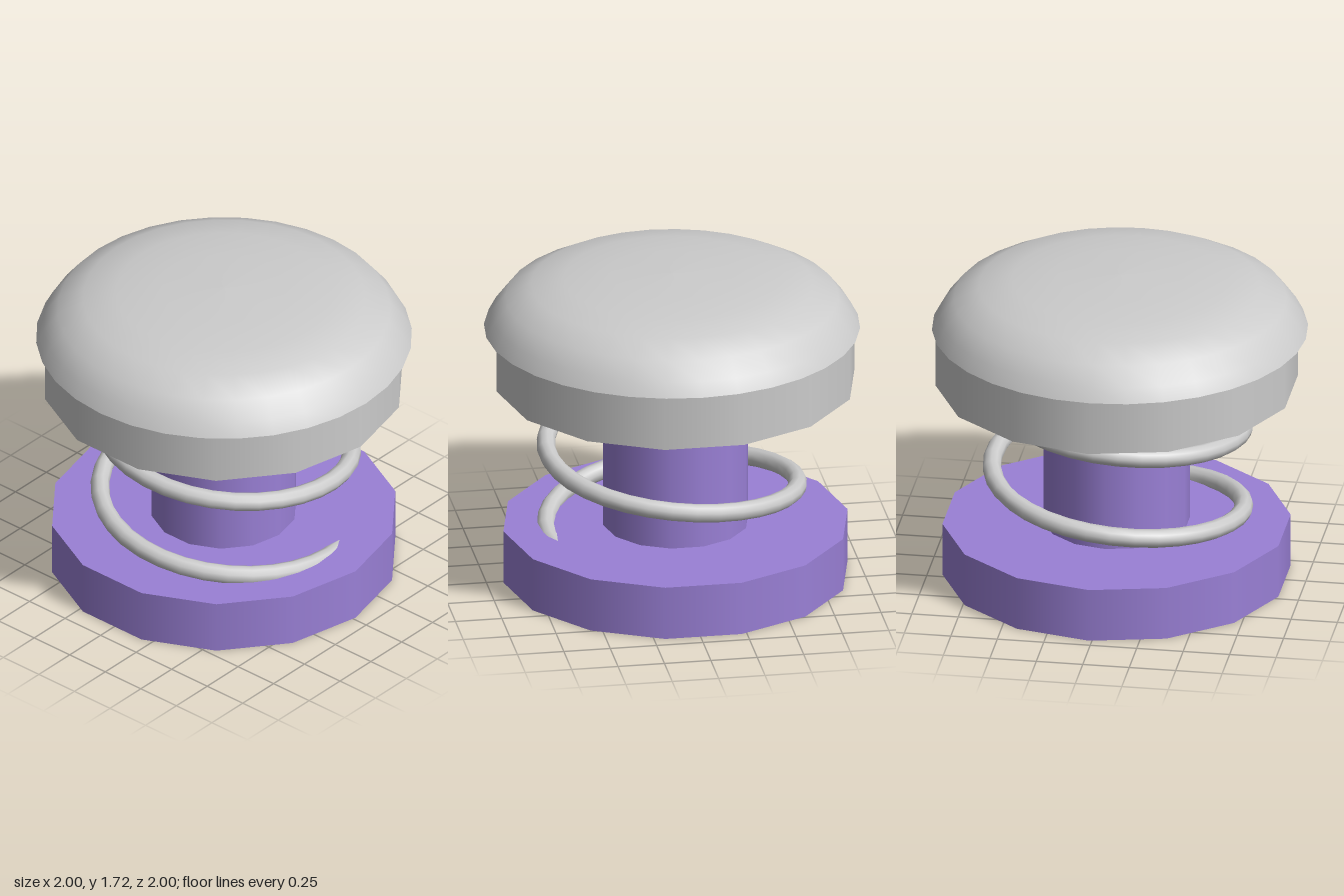
import * as THREE from 'three';

const grey = new THREE.MeshStandardMaterial({ color: 0xcccccc });
const purple = new THREE.MeshStandardMaterial({ color: 0x9a80d6 });

// Shared axis of the stacked cylinders, slightly off the cap's centre
const AXIS = -0.016;

function addMesh(group, name, geometry, material) {
  const mesh = new THREE.Mesh(geometry, material);
  mesh.name = name;
  group.add(mesh);
  return mesh;
}

// 14-sided drum with corners on the x axis
function addDrum(group, name, radius, bottom, top, material) {
  const geometry = new THREE.CylinderGeometry(radius, radius, top - bottom, 14);
  geometry.rotateY(Math.PI / 2);
  addMesh(group, name, geometry, material).position.set(AXIS, (bottom + top) / 2, AXIS);
}

// Helix rising from inside the base into the collar
class Helix extends THREE.Curve {
  getPoint(t, target = new THREE.Vector3()) {
    const turns = -1.1 + 2.1 * t;
    const a = turns * Math.PI * 2;
    return target.set(0.003 + 0.67 * Math.cos(a), 0.73 + 0.465 * turns, -0.012 + 0.67 * Math.sin(a));
  }
}

export function createModel() {
  const group = new THREE.Group();
  group.name = 'springButton';

  // Base, post and collar
  addDrum(group, 'base', 0.927, 0, 0.295, purple);
  addDrum(group, 'post', 0.39, 0.28, 1.12, purple);
  addDrum(group, 'collar', 0.965, 1.105, 1.408, grey);

  // Coil spring
  addMesh(group, 'spring', new THREE.TubeGeometry(new Helix(), 72, 0.05, 10), grey);

  // Domed cap, smooth on top
  const dome = [[1, 1.41], [0.96, 1.485], [0.885, 1.58], [0.75, 1.652], [0.575, 1.686], [0.33, 1.707], [0, 1.715]]
    .map(([r, y]) => new THREE.Vector2(r, y));
  addMesh(group, 'cap', new THREE.LatheGeometry(dome, 32), grey);

  // Flat underside of the cap
  const underside = new THREE.CircleGeometry(1, 32).rotateX(Math.PI / 2);
  addMesh(group, 'capUnderside', underside, grey).position.y = 1.41;

  return group;
}
